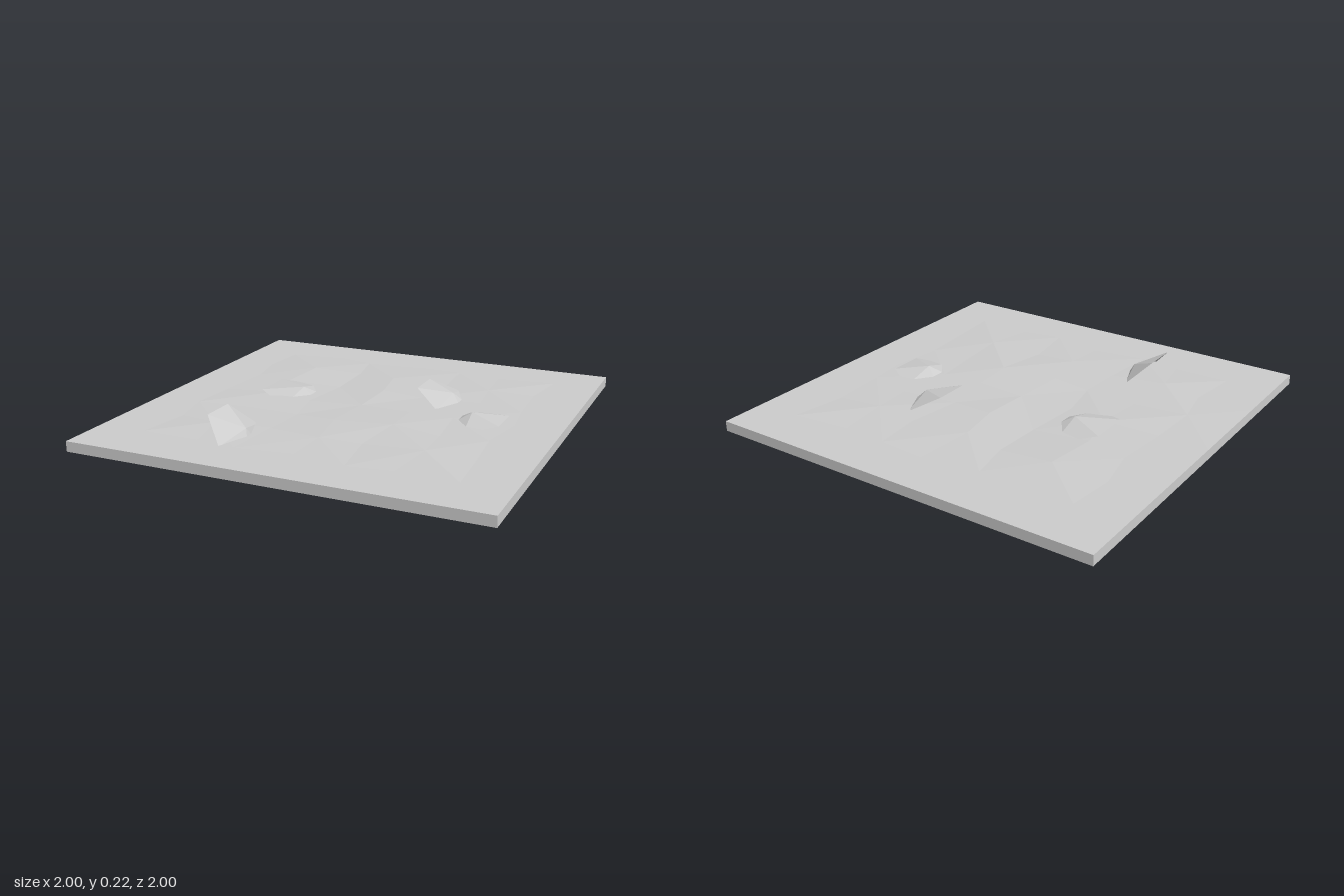
import * as THREE from 'three';

// height offsets (thousandths) of the raised inner ground, rows back to front
const RELIEF = [
  [2, 0, 2, 0, 2, 0, 1],
  [0, 12, 3, 13, 5, 9, 0],
  [2, 7, -4, 12, 4, 3, 2],
  [0, 10, 2, 6, 8, 5, 0],
  [3, 1, 1, 9, 14, 4, 2],
  [0, 9, 4, 8, 2, 11, 0],
  [2, 0, 1, 0, 2, 0, 2],
];
const TOP = 0.11, BOTTOM = 0.06, N = 8;

function meshFrom(name, positions, material) {
  const g = new THREE.BufferGeometry();
  g.setAttribute('position', new THREE.Float32BufferAttribute(positions.flat(), 3));
  g.computeVertexNormals(); // unshared corners give flat facets
  const m = new THREE.Mesh(g, material);
  m.name = name;
  return m;
}

// faceted ground sheet with alternating diagonals
function buildGround(material) {
  const point = (i, j) => {
    const inner = i > 0 && j > 0 && i < N && j < N;
    const wobble = inner && !(i === 4 && j === 4) ? 0.025 : 0;
    return [
      -1 + i * 0.25 + wobble * Math.sin(i * 2.3 + j * 4.1),
      TOP + (inner ? RELIEF[j - 1][i - 1] / 1000 : 0),
      -1 + j * 0.25 + wobble * Math.cos(i * 3.7 + j * 1.9),
    ];
  };
  const p = [];
  for (let j = 0; j < N; j++) {
    for (let i = 0; i < N; i++) {
      const a = point(i, j), b = point(i + 1, j), c = point(i + 1, j + 1), d = point(i, j + 1);
      if ((i + j) % 2 === 0) p.push(a, d, c, a, c, b);
      else p.push(a, d, b, b, d, c);
    }
  }
  return meshFrom('ground', p, material);
}

// thin wall around the edge, open underneath
function buildSkirt(material) {
  const corners = [[-1, 1], [1, 1], [1, -1], [-1, -1]];
  const p = [];
  corners.forEach(([x0, z0], k) => {
    const [x1, z1] = corners[(k + 1) % 4];
    const a = [x0, BOTTOM, z0], b = [x1, BOTTOM, z1], c = [x1, TOP, z1], d = [x0, TOP, z0];
    p.push(a, b, c, a, c, d);
  });
  return meshFrom('skirt', p, material);
}

// shallow six-sided rock shell, tilted about z and half sunk in the ground
function buildRock({ at, radius, height, tilt }, material) {
  const g = new THREE.ConeGeometry(radius, height, 6, 1, true).toNonIndexed();
  g.translate(0, height / 2, 0);
  g.rotateZ(tilt);
  g.computeVertexNormals();
  const rock = new THREE.Mesh(g, material);
  rock.position.set(...at);
  rock.name = 'rock';
  return rock;
}

export function createModel() {
  const stone = new THREE.MeshStandardMaterial({ color: 0xcccccc, side: THREE.DoubleSide });
  stone.name = 'stone grey';

  const model = new THREE.Group();
  model.name = 'rockyGroundTile';
  model.add(buildGround(stone), buildSkirt(stone));

  const rocks = [
    { at: [-0.342, 0.107, 0.605], radius: 0.175, height: 0.055, tilt: -0.807 },
    { at: [-0.375, 0.092, -0.09], radius: 0.206, height: 0.05, tilt: -0.23 },
    { at: [0.36, 0.11, -0.265], radius: 0.176, height: 0.048, tilt: -0.5 },
    { at: [0.575, 0.096, -0.02], radius: 0.172, height: 0.054, tilt: 0.2 },
  ];
  for (const r of rocks) model.add(buildRock(r, stone));
  return model;
}
